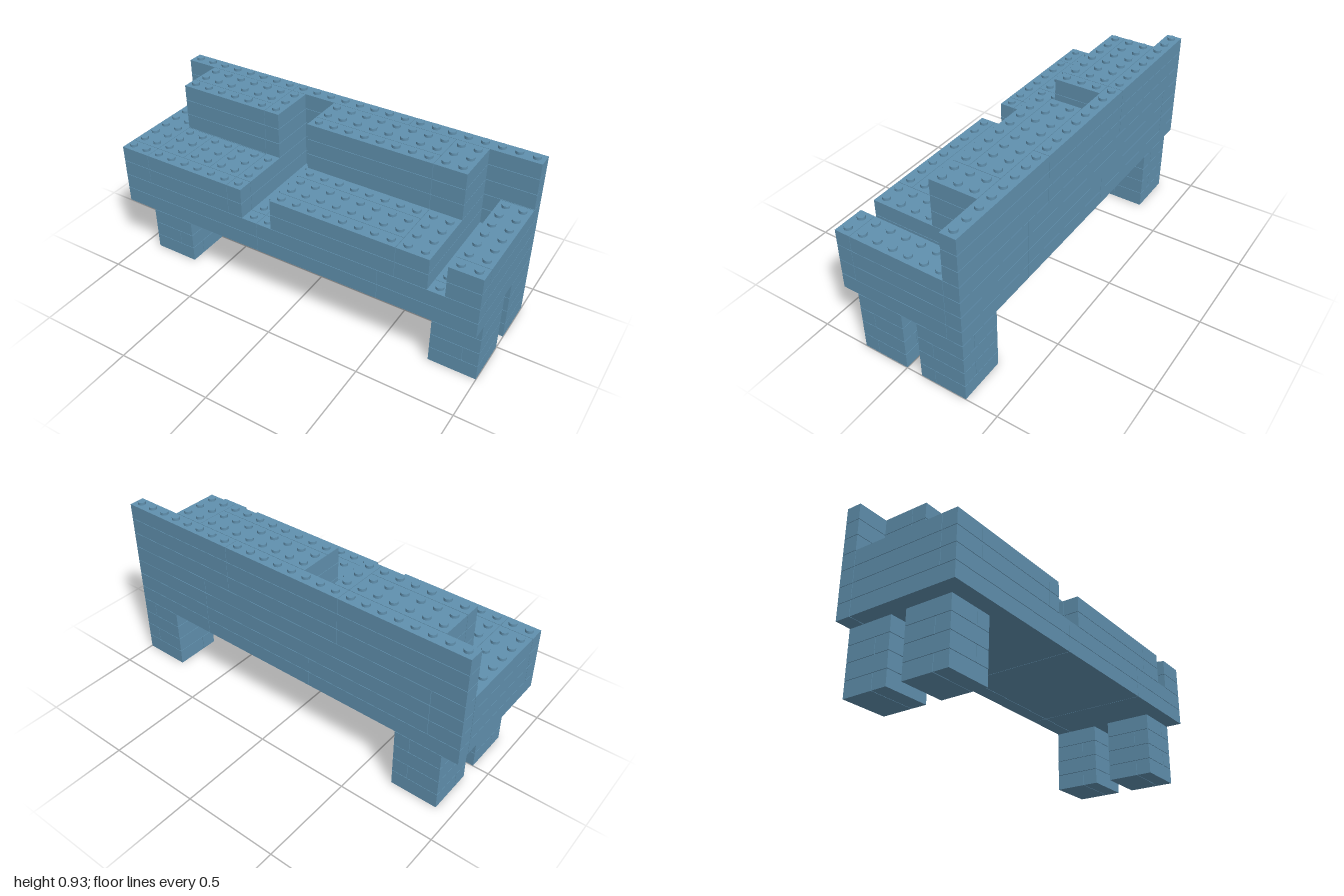
import * as THREE from 'three';
import { mergeGeometries } from 'three/addons/utils/BufferGeometryUtils.js';

const U = 1 / 12;      // one stud pitch, also one brick layer
const GAP = 0.0024;    // hairline joint between bricks

// Box filling grid cells x0..x1, z0..z1 of one layer
function brick(x0, x1, z0, z1, layer) {
  const g = new THREE.BoxGeometry((x1 - x0) * U - GAP, U - GAP, (z1 - z0) * U - GAP);
  return g.translate((x0 + x1) / 2 * U, (layer + 0.5) * U, (z0 + z1) / 2 * U);
}

// Row of bricks cut at the given x positions
function row(cuts, z0, z1, layer) {
  return cuts.slice(1).map((x, i) => brick(cuts[i], x, z0, z1, layer));
}

// Studs on every cell of a rectangle, standing on top of height y (in layers)
function studs(x0, x1, z0, z1, y) {
  const out = [];
  for (let x = x0; x < x1; x++) {
    for (let z = z0; z < z1; z++) {
      const g = new THREE.CylinderGeometry(0.02, 0.02, 0.014, 16);
      out.push(g.translate((x + 0.5) * U, y * U + 0.0055, (z + 0.5) * U));
    }
  }
  return out;
}

export function createModel() {
  const model = new THREE.Group();
  model.name = 'brickSofa';
  const blue = new THREE.MeshStandardMaterial({ color: 0x6090ae });
  blue.name = 'sandBlue';

  const add = (name, parts) => {
    const mesh = new THREE.Mesh(mergeGeometries(parts), blue);
    mesh.name = name;
    model.add(mesh);
  };

  // Four legs with joints that alternate direction layer by layer
  const leg = (name, x0, xCut, z0, zCut) => {
    const parts = [];
    for (let l = 0; l < 4; l++) {
      if (l % 2) parts.push(...row([x0, xCut, x0 + 3], z0, z0 + 3, l));
      else parts.push(brick(x0, x0 + 3, z0, zCut, l), brick(x0, x0 + 3, zCut, z0 + 3, l));
    }
    add(name, parts);
  };
  leg('frontRightLeg', -11, -9, 0, 2);
  leg('backRightLeg', -11, -9, -4, -2);
  leg('frontLeftLeg', 9, 11, 0, 2);
  leg('backLeftLeg', 9, 11, -4, -2);

  // Base platform, two layers, with studs only in the open channels
  add('base', [
    ...row([-12, -2, 6, 12], -4, -3, 4),
    ...row([-12, -2, 6, 12], -3, 4, 4),
    ...row([-12, -10, -2, 6, 12], -4, -3, 5),
    ...row([-12, -2, 6, 12], -3, 3, 5),
    ...row([-12, -2, 6, 12], 3, 4, 5),
    ...studs(-3, -1, -3, 4, 6),
    ...studs(9, 10, -3, 4, 6),
  ]);

  // Back wall
  const wall = [];
  for (let l = 6; l < 11; l++) {
    wall.push(...row(l < 8 ? [-12, -10, 6, 12] : [-12, -4, 4, 12], -4, -3, l));
  }
  add('backWall', [...wall, ...studs(-12, 12, -4, -3, 11)]);

  // Armrests and seat cushions, two layers each
  const rightArm = [], leftArm = [], rightSeat = [], leftSeat = [];
  for (const l of [6, 7]) {
    rightArm.push(brick(-12, -10, -3, 3, l), brick(-12, -10, 3, 4, l));
    leftArm.push(brick(10, 12, -3, 3, l), brick(10, 12, 3, 4, l));
    rightSeat.push(
      ...row([-10, -4], -3, 0, l), ...row([-10, -8, -6, -4], 0, 3, l),
      brick(-10, -4, 3, 4, l), brick(-4, -3, -3, 3, l), brick(-4, -3, 3, 4, l));
    leftSeat.push(
      brick(-1, 7, -3, 1, l), brick(-1, 7, 1, 3, l), brick(-1, 7, 3, 4, l),
      brick(7, 9, -3, 4, l));
  }
  add('rightArmrest', [...rightArm, ...studs(-12, -10, -3, 4, 8)]);
  add('leftArmrest', [...leftArm, ...studs(10, 12, -3, 4, 8)]);
  add('rightSeatCushion', [...rightSeat, ...studs(-10, -3, 0, 4, 8)]);
  add('leftSeatCushion', [...leftSeat, ...studs(-1, 9, 0, 4, 8)]);

  // Back cushions, three layers each
  const rightBack = [], leftBack = [];
  for (const l of [8, 9, 10]) {
    rightBack.push(brick(-10, -4, -3, -1, l), brick(-10, -4, -1, 0, l), brick(-4, -3, -3, 0, l));
    leftBack.push(brick(-1, 7, -3, -1, l), brick(-1, 7, -1, 0, l), brick(7, 9, -3, 0, l));
  }
  add('rightBackCushion', [...rightBack, ...studs(-10, -3, -3, 0, 11)]);
  add('leftBackCushion', [...leftBack, ...studs(-1, 9, -3, 0, 11)]);

  // Studs on the arm tops beside the right back cushion are covered by the armrest parts
  return model;
}
